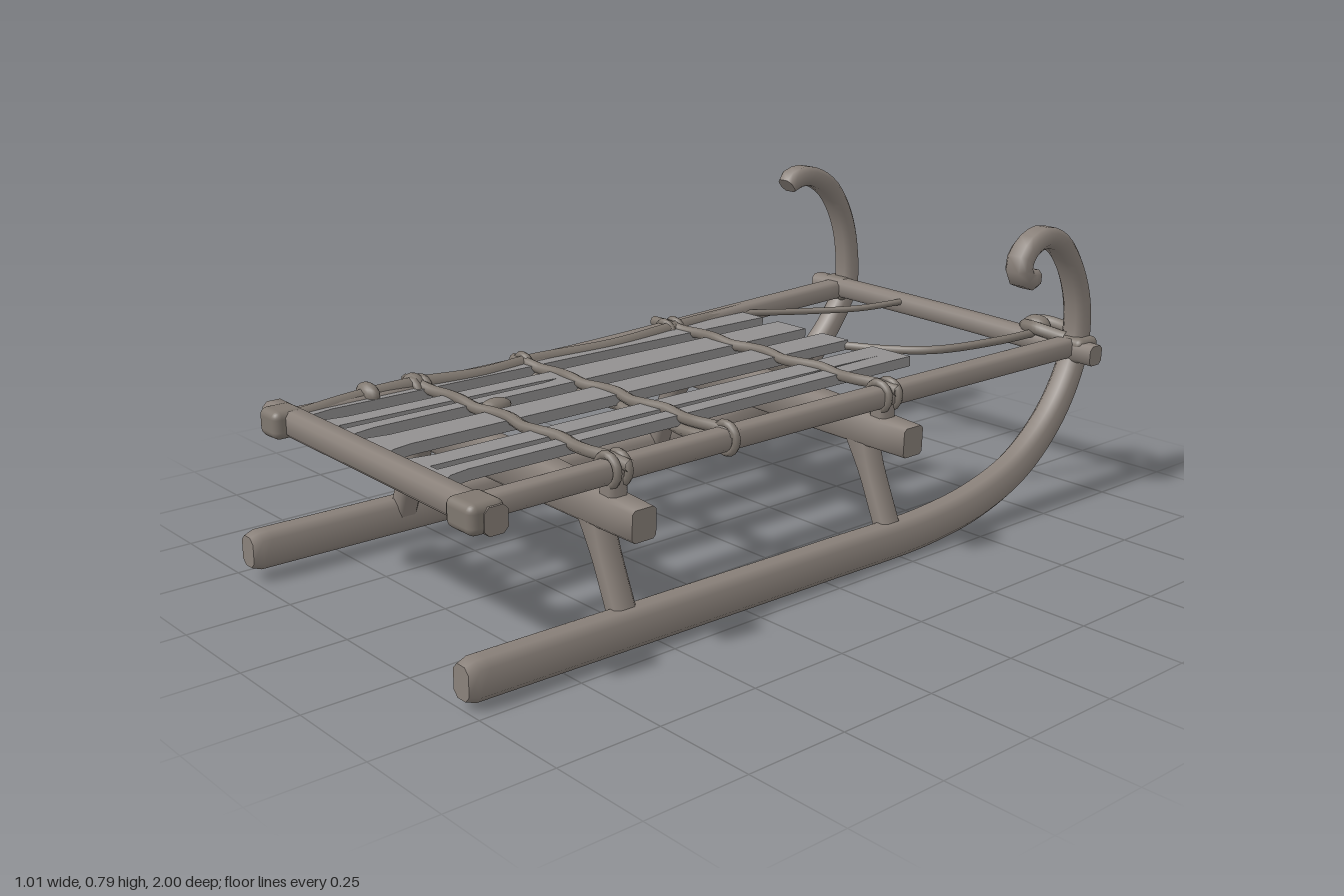
import * as THREE from 'three';
import { toCreasedNormals } from 'three/addons/utils/BufferGeometryUtils.js';
import { RoundedBoxGeometry } from 'three/addons/geometries/RoundedBoxGeometry.js';

const wood = new THREE.MeshStandardMaterial({ color: 0x8a817a });
const slatWood = new THREE.MeshStandardMaterial({ color: 0x929090 });
const cord = new THREE.MeshStandardMaterial({ color: 0x7f776f });
const V = (p) => new THREE.Vector3(...p);

export function createModel() {
  const sled = new THREE.Group();

  function add(name, geometry, material = wood) {
    const mesh = new THREE.Mesh(geometry, material);
    mesh.name = name;
    sled.add(mesh);
    return mesh;
  }

  // Chamfered bar swept along points; size(t) gives [width along ref, thickness]
  function bar(name, points, size, { ref = [1, 0, 0], steps = 8, chamfer = 0.2, material = wood } = {}) {
    const curve = new THREE.CatmullRomCurve3(points.map(V));
    const sizeAt = typeof size === 'function' ? size : () => size;
    const pos = [], index = [], n = 8;
    for (let i = 0; i <= steps; i++) {
      const t = i / steps, c = curve.getPointAt(t), tan = curve.getTangentAt(t);
      const side = V(ref).addScaledVector(tan, -tan.dot(V(ref))).normalize();
      const up = new THREE.Vector3().crossVectors(tan, side);
      const [w, h] = sizeAt(t), a = w / 2, b = h / 2, k = Math.min(w, h) * chamfer;
      const ring = [[a, k - b], [a, b - k], [a - k, b], [k - a, b], [-a, b - k], [-a, k - b], [k - a, -b], [a - k, -b]];
      for (const [s, u] of ring) {
        const p = c.clone().addScaledVector(side, s).addScaledVector(up, u);
        pos.push(p.x, p.y, p.z);
      }
    }
    for (let i = 0; i < steps; i++) {
      for (let j = 0; j < n; j++) {
        const a = i * n + j, b = i * n + (j + 1) % n;
        index.push(a, b, a + n, b, b + n, a + n);
      }
    }
    for (let j = 1; j < n - 1; j++) {
      const e = steps * n;
      index.push(0, j + 1, j, e, e + j, e + j + 1);
    }
    const g = new THREE.BufferGeometry();
    g.setAttribute('position', new THREE.Float32BufferAttribute(pos, 3));
    g.setIndex(index);
    return add(name, toCreasedNormals(g, 1), material);
  }

  const rope = (name, points, r, steps = 40) =>
    add(name, new THREE.TubeGeometry(new THREE.CatmullRomCurve3(points.map(V)), steps, r, 7), cord);

  function knot(name, at, scale) {
    const mesh = add(name, new THREE.SphereGeometry(1, 14, 10), cord);
    mesh.position.set(...at);
    mesh.scale.set(...scale);
  }

  const block = (name, at, size) =>
    add(name, new RoundedBoxGeometry(...size, 3, 0.018), cord).position.set(...at);

  // Runners: centre lines as [z, y], leaning inward as they rise
  const leftLine = [[1, 0.058], [0.5, 0.052], [0, 0.047], [-0.35, 0.047], [-0.55, 0.073], [-0.7, 0.125], [-0.82, 0.21],
    [-0.9, 0.305], [-0.945, 0.4], [-0.945, 0.51], [-0.908, 0.61], [-0.85, 0.682], [-0.785, 0.708],
    [-0.725, 0.688], [-0.697, 0.647], [-0.712, 0.613], [-0.755, 0.608]];
  const rightLine = [[1, 0.07], [0.5, 0.066], [0, 0.064], [-0.35, 0.066], [-0.55, 0.085], [-0.7, 0.135], [-0.82, 0.22],
    [-0.9, 0.31], [-0.955, 0.41], [-0.957, 0.52], [-0.928, 0.63], [-0.868, 0.718], [-0.785, 0.76],
    [-0.73, 0.755], [-0.708, 0.738]];
  const runnerSize = (t) => {
    const round = t < 0.005 || t > 0.995 ? 0.82 : 1;
    return [0.066 * round, (0.09 - 0.036 * THREE.MathUtils.smoothstep(t, 0.55, 0.9)) * round];
  };
  for (const [name, sign, line] of [['leftRunner', 1, leftLine], ['rightRunner', -1, rightLine]]) {
    const lean = (y) => sign * (0.444 - 0.022 * Math.min(1, y / 0.4));
    bar(name, line.map(([z, y]) => [lean(y), y, z]), runnerSize, { steps: 110, chamfer: 0.25 });
  }

  // Two supports: crossbeam with splayed legs
  for (const [name, z, right, dy] of [['rear', 0.585, -0.465, 0], ['front', -0.23, -0.505, 0.004]]) {
    bar(name + 'Crossbeam', [[right, 0.316 + dy, z], [0, 0.318 + dy, z], [0.505, 0.302 + dy, z]],
      (t) => [0.064, 0.072 + 0.022 * Math.sin(Math.PI * t)], { ref: [0, 0, 1], steps: 12, chamfer: 0.12 });
    for (const s of [1, -1]) {
      bar(name + (s > 0 ? 'LeftLeg' : 'RightLeg'),
        [[s * 0.335, 0.3, z], [s * 0.365, 0.23, z], [s * 0.435, 0.065, z]],
        (t) => [0.058, 0.05 + 0.03 * Math.max(0, 0.45 - t) / 0.45], { ref: [0, 0, 1] });
      // Block between beam and side rail
      const x = s > 0 ? 0.405 : z > 0 ? -0.345 : -0.38;
      bar(name + 'RailBlock', [[x, 0.33, z], [x, 0.4, z]], [0.05, 0.05]);
    }
  }

  // Side rails, the right one pulled inward toward the rear
  const railSize = (t) => [0.046 + 0.012 * t, 0.05];
  bar('leftRail', [[0.405, 0.395, 0.98], [0.405, 0.397, 0], [0.42, 0.4, -0.95]], railSize);
  bar('rightRail', [[-0.335, 0.398, 0.98], [-0.345, 0.398, 0.35], [-0.36, 0.4, 0], [-0.395, 0.404, -0.45],
    [-0.425, 0.41, -0.95]], railSize, { steps: 20 });

  // End bars
  bar('rearEndBar', [[-0.4, 0.403, 0.93], [0.48, 0.39, 0.93]], [0.056, 0.06], { ref: [0, 0, 1] });
  bar('frontEndBar', [[-0.505, 0.416, -0.925], [0, 0.408, -0.92], [0.505, 0.39, -0.925]], [0.05, 0.052], { ref: [0, 0, 1] });

  // Seat slats: [centre x, front width, rear width, split start z, split centre offset]
  const slats = [[-0.325, 0.08, 0.05, null, 0], [-0.172, 0.106, 0.112, 0.3, 0.006], [-0.008, 0.094, 0.086, null, 0],
    [0.191, 0.13, 0.125, -0.44, 0.01]];
  slats.forEach(([x, wf, wr, split, off], i) => {
    const shape = new THREE.Shape();
    const zs = [[-0.49, wf], [0.1, (wf + wr) / 2], [0.84, wr], [0.89, wr + 0.02], [0.92, wr + 0.06]];
    zs.forEach(([z, w], k) => (k ? shape.lineTo(x - w / 2, z) : shape.moveTo(x - w / 2, z)));
    [...zs].reverse().forEach(([z, w]) => shape.lineTo(x + w / 2, z));
    if (split !== null) {
      const hole = new THREE.Path();
      hole.moveTo(x + off, split);
      hole.lineTo(x + off + 0.009, 0.2 + split / 2);
      hole.lineTo(x + off + 0.013, 0.89);
      hole.lineTo(x + off - 0.013, 0.89);
      hole.lineTo(x + off - 0.006, 0.2 + split / 2);
      shape.holes.push(hole);
    }
    const g = new THREE.ExtrudeGeometry(shape, { depth: 0.026, bevelEnabled: false });
    g.rotateX(Math.PI / 2);
    add('seatSlat' + (i + 1), g, slatWood).position.y = 0.416;
  });

  // Lashings across the slats
  function lashing(name, z, x0, x1, y) {
    const pts = [];
    for (let k = 0; k <= 14; k++) {
      const x = THREE.MathUtils.lerp(x0, x1, k / 14);
      pts.push([x, y + 0.003 * Math.sin(k * 2.1), z + 0.004 * Math.sin(k * 1.7)]);
    }
    rope(name, pts, 0.014, 56);
  }
  lashing('frontLashing', -0.24, -0.45, 0.44, 0.416);
  lashing('middleLashing', 0.27, -0.39, 0.435, 0.414);
  lashing('middleLowerLashing', 0.27, -0.37, 0.42, 0.384);
  lashing('rearLashing', 0.58, -0.4, 0.45, 0.416);

  // Bindings wrapped round the rails
  const railX = (s, z) => (s > 0 ? 0.405 : -0.357 + 0.025 * z + (z < 0 ? 0.06 * z : 0));
  for (const z of [-0.25, -0.215, 0.27, 0.57, 0.6]) {
    for (const s of [1, -1]) {
      const ring = add('railBinding', new THREE.TorusGeometry(0.033, 0.01, 7, 16), cord);
      ring.position.set(railX(s, z), 0.398, z);
    }
  }
  block('frontLeftBinding', [0.435, 0.395, -0.94], [0.08, 0.066, 0.08]);
  block('frontRightBinding', [-0.43, 0.41, -0.945], [0.085, 0.07, 0.08]);
  block('rearLeftBinding', [0.43, 0.396, 0.945], [0.095, 0.066, 0.085]);
  block('rearRightBinding', [-0.332, 0.402, 0.945], [0.08, 0.066, 0.08]);

  // Rope running along the right rail, with knots
  rope('railRope', [[-0.4, 0.41, -0.52], [-0.365, 0.413, -0.25], [-0.335, 0.41, 0], [-0.345, 0.412, 0.25], [-0.325, 0.412, 0.42],
    [-0.34, 0.418, 0.6], [-0.34, 0.414, 0.76], [-0.325, 0.405, 0.93]], 0.02, 60);
  knot('railRopeKnot', [-0.34, 0.42, 0.72], [0.042, 0.028, 0.022]);
  knot('railRopeKnot', [-0.35, 0.408, 0.59], [0.04, 0.036, 0.028]);
  knot('lashingKnot', [-0.095, 0.408, 0.53], [0.025, 0.02, 0.04]);

  // Pull cords at the front and their loop at the corner
  rope('rightPullCord', [[-0.15, 0.42, -0.9], [-0.2, 0.41, -0.79], [-0.29, 0.405, -0.66], [-0.385, 0.408, -0.5]], 0.009);
  rope('leftPullCord', [[0.32, 0.42, -0.91], [0.3, 0.415, -0.78], [0.23, 0.405, -0.62], [0.13, 0.4, -0.54], [0.02, 0.4, -0.48]], 0.011);
  rope('cordLoop', [[0.44, 0.415, -0.955], [0.36, 0.43, -0.98], [0.29, 0.435, -0.97], [0.265, 0.425, -0.94],
    [0.33, 0.435, -0.9], [0.41, 0.42, -0.92]], 0.018);
  knot('cordKnot', [0.3, 0.432, -0.94], [0.04, 0.027, 0.03]);

  // Torn scraps hanging beneath the seat: root centre, half width, tip
  const scraps = [[[-0.28, 0.33, 0.56], 0.045, [-0.27, 0.31, 0.43]], [[-0.27, 0.36, -0.22], 0.035, [-0.28, 0.355, -0.32]],
    [[-0.07, 0.35, -0.24], 0.045, [-0.05, 0.365, -0.47]]];
  for (const [root, half, tip] of scraps) {
    const mid = root.map((v, k) => (v + tip[k]) / 2 - (k === 1 ? 0.006 : 0));
    bar('hangingScrap', [root, mid, tip], (t) => [2 * half * (1 - t) + 0.006, 0.05 * (1 - t) + 0.008], { material: cord });
  }
  return sled;
}
